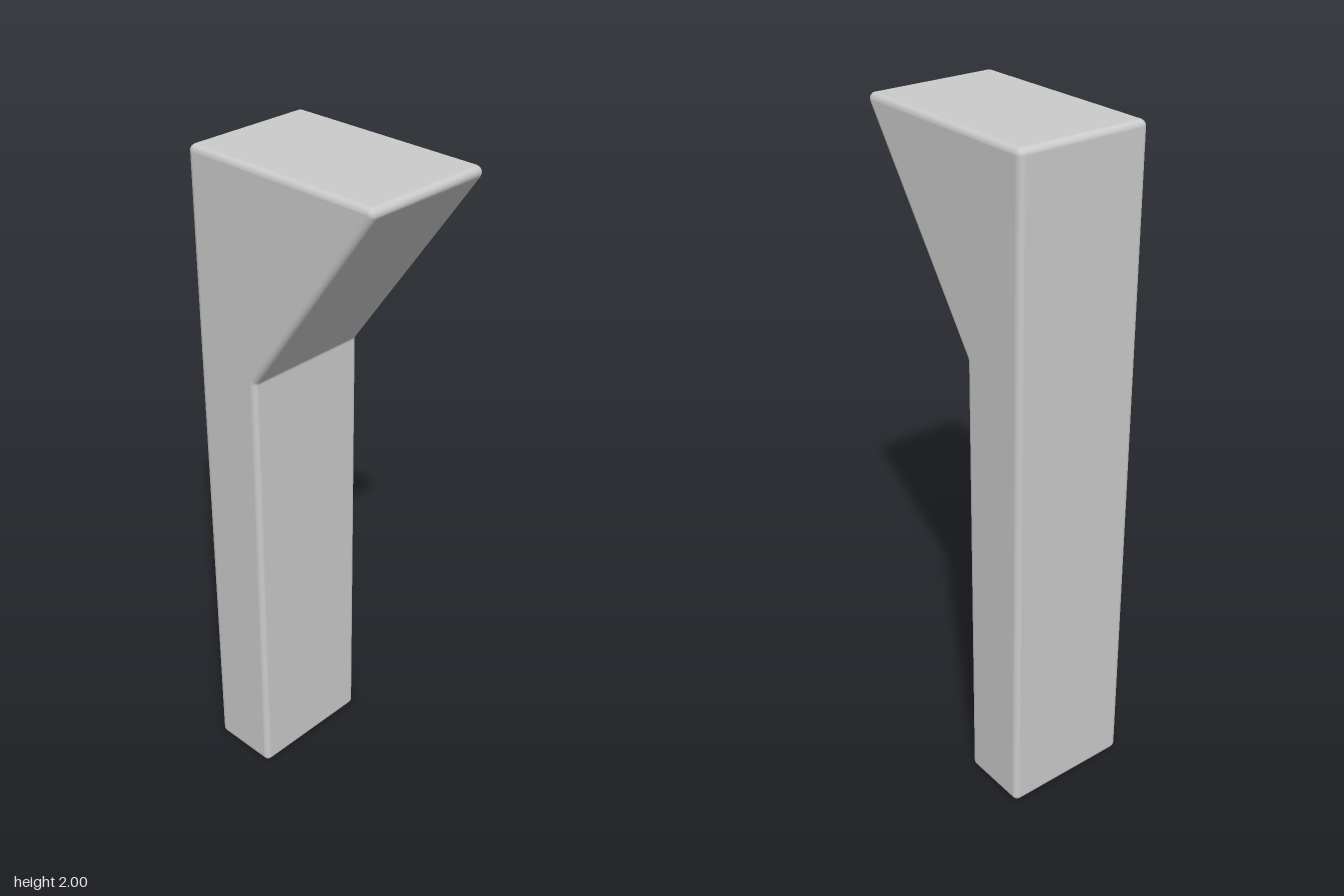
import * as THREE from 'three';
import { mergeVertices } from 'three/addons/utils/BufferGeometryUtils.js';

const BEVEL = 0.017;
const DEPTH = 0.4;

// Polygon whose corners are replaced by circular arcs
function roundedShape(corners, radius, segments) {
  const points = [];
  corners.forEach((c, i) => {
    const p = new THREE.Vector2(...c);
    const prev = new THREE.Vector2(...corners[(i + corners.length - 1) % corners.length]);
    const next = new THREE.Vector2(...corners[(i + 1) % corners.length]);
    const a = prev.sub(p).normalize();
    const b = next.sub(p).normalize();
    const half = Math.acos(a.dot(b)) / 2;
    const centre = a.clone().add(b).normalize().multiplyScalar(radius / Math.sin(half)).add(p);
    const tangent = radius / Math.tan(half);
    const start = p.clone().addScaledVector(a, tangent).sub(centre);
    const end = p.clone().addScaledVector(b, tangent).sub(centre);
    const sweep = Math.atan2(start.cross(end), start.dot(end));
    for (let k = 0; k <= segments; k++) {
      points.push(start.clone().rotateAround(new THREE.Vector2(), (sweep * k) / segments).add(centre));
    }
  });
  return new THREE.Shape(points);
}

export function createModel() {
  const group = new THREE.Group();
  group.name = 'bracketPost';

  // Upright post flaring into a sloped bracket at the top
  const profile = roundedShape(
    [[-0.318, 0], [-0.1, 0], [-0.1, 1.39], [0.333, 2], [-0.318, 2]],
    0.018, 4
  );
  let geometry = new THREE.ExtrudeGeometry(profile, {
    depth: DEPTH - 2 * BEVEL,
    bevelEnabled: true,
    bevelThickness: BEVEL,
    bevelSize: BEVEL,
    bevelOffset: -BEVEL,
    bevelSegments: 4,
  });
  geometry.translate(0, 0, BEVEL - DEPTH / 2);

  // Shared vertices give area-weighted smooth normals over the bevels
  geometry.deleteAttribute('normal');
  geometry.deleteAttribute('uv');
  geometry = mergeVertices(geometry, 1e-5);
  geometry.computeVertexNormals();

  const post = new THREE.Mesh(geometry, new THREE.MeshStandardMaterial({ color: 0xcccccc }));
  post.name = 'postWithBracket';
  group.add(post);
  return group;
}
